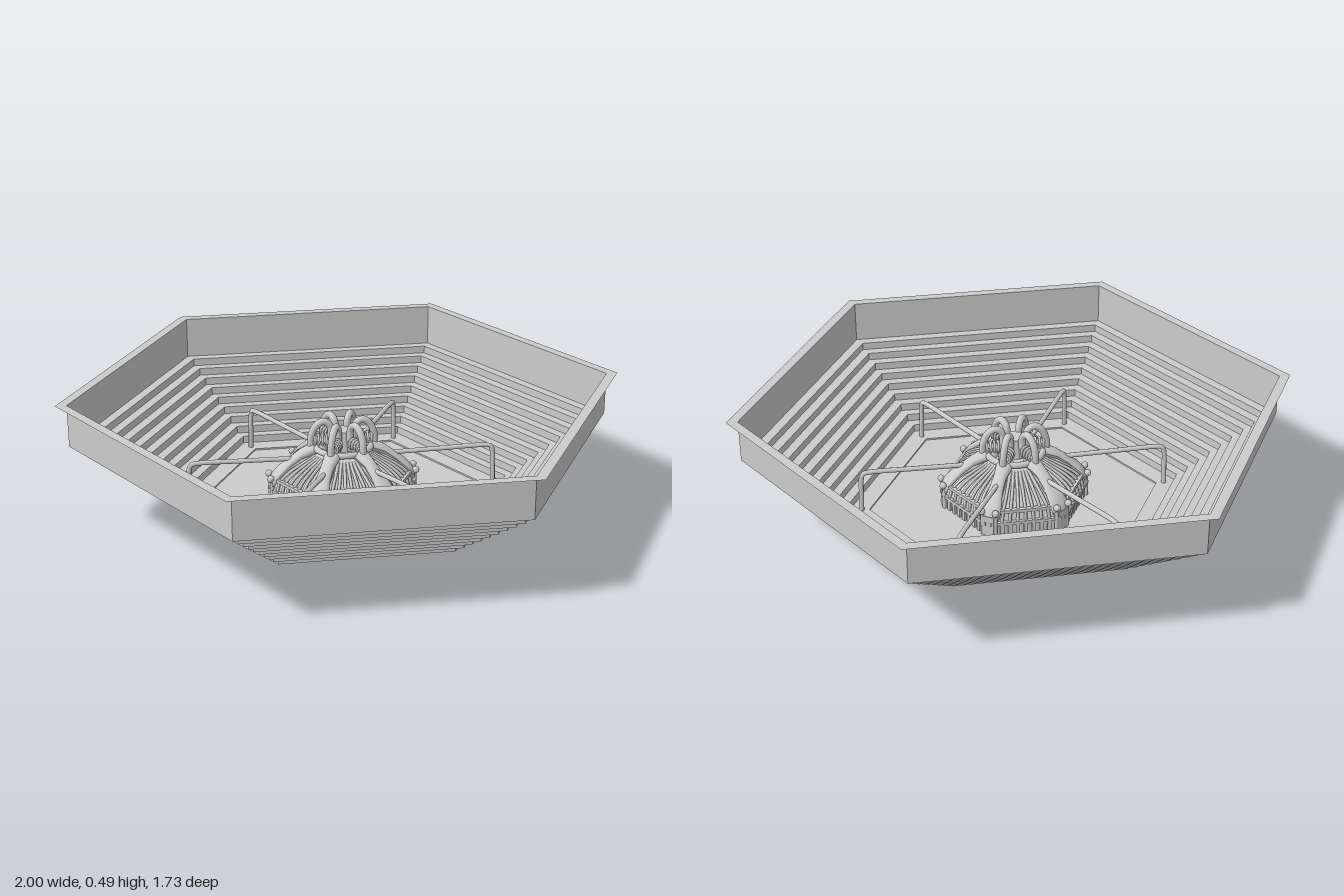
import * as THREE from 'three';

const flat = new THREE.MeshStandardMaterial({ color: 0xcccccc, flatShading: true, side: THREE.DoubleSide });
const smooth = new THREE.MeshStandardMaterial({ color: 0xcccccc, side: THREE.DoubleSide });
const V = (x, y, z = 0) => new THREE.Vector3(x, y, z);

function add(parent, name, geometry, material = flat) {
  const mesh = new THREE.Mesh(geometry, material);
  mesh.name = name;
  parent.add(mesh);
  return mesh;
}

// Six-sided lathe with corners on the x axis
function hexLathe(points) {
  return new THREE.LatheGeometry(points.map(([r, y]) => new THREE.Vector2(r, y)), 6, Math.PI / 6);
}

function tube(points, radius, segments = 16, sides = 8) {
  return new THREE.TubeGeometry(new THREE.CatmullRomCurve3(points, false, 'centripetal'), segments, radius, sides);
}

// Long tapered arm: elliptical sections [r, y, halfWidth, halfHeight] lofted outward
function loft(sections, sides = 14) {
  const pos = [], idx = [];
  for (const [x, y, w, h] of sections)
    for (let j = 0; j <= sides; j++) {
      const a = (j / sides) * Math.PI * 2;
      pos.push(x, y + h * Math.sin(a), w * Math.cos(a));
    }
  for (let i = 0; i < sections.length - 1; i++)
    for (let j = 0; j < sides; j++) {
      const a = i * (sides + 1) + j, b = a + sides + 1;
      idx.push(a, a + 1, b, a + 1, b + 1, b);
    }
  const g = new THREE.BufferGeometry();
  g.setAttribute('position', new THREE.Float32BufferAttribute(pos, 3));
  g.setIndex(idx);
  g.computeVertexNormals();
  return g;
}

function createBowl() {
  const bowl = new THREE.Group();
  bowl.name = 'bowl';
  // Flat lip, upright wall, nine steps and the floor
  const profile = [[1, 0.488], [0.96, 0.488], [0.96, 0.335]];
  const rise = 0.0278;
  for (let i = 0; i < 9; i++) {
    const r = 0.92 - 0.04 * i, y = 0.335 - rise * i;
    profile.push([r, y], [r, y - rise]);
  }
  profile.push([0.56, 0.085], [0.525, 0.085], [0.525, 0.079], [0.0001, 0.079]);
  add(bowl, 'steppedBasin', hexLathe(profile));
  return bowl;
}

// One corner: water arch, arm, bolts, corner leg and crown pipe
function createCorner() {
  const corner = new THREE.Group();
  corner.name = 'cornerAssembly';

  add(corner, 'archPipe', tube([
    V(0.17, 0.235), V(0.35, 0.238), V(0.52, 0.24), V(0.541, 0.236), V(0.548, 0.22), V(0.551, 0.15), V(0.553, 0.08),
  ], 0.009, 40), smooth);

  add(corner, 'arm', loft([
    [0.06, 0.265, 0.004, 0.004], [0.075, 0.27, 0.026, 0.02], [0.11, 0.268, 0.03, 0.022],
    [0.15, 0.25, 0.024, 0.02], [0.19, 0.22, 0.026, 0.02], [0.23, 0.185, 0.036, 0.022],
    [0.255, 0.155, 0.04, 0.022], [0.265, 0.145, 0.004, 0.004],
  ]), smooth);

  // Corner leg with a pair of side rods and bolt heads
  const leg = add(corner, 'cornerLeg', new THREE.BoxGeometry(0.018, 0.155, 0.04));
  leg.position.set(0.256, 0.0775, 0);
  for (const s of [-1, 1]) {
    const rod = add(corner, 'legRod', new THREE.CylinderGeometry(0.007, 0.007, 0.17, 8), smooth);
    rod.position.set(0.258, 0.085, s * 0.024);
    const bolt = add(corner, 'boltHead', new THREE.SphereGeometry(0.013, 10, 8), smooth);
    bolt.position.set(0.262, 0.172, s * 0.026);
  }

  // Hooked pipe of the crown with stacked rings beside it
  add(corner, 'crownPipe', tube([
    V(0.115, 0.27), V(0.112, 0.32), V(0.095, 0.355), V(0.07, 0.37), V(0.047, 0.355), V(0.042, 0.32), V(0.045, 0.27),
  ], 0.013, 28, 10), smooth);
  for (let i = 0; i < 4; i++) {
    const ring = add(corner, 'crownRing', new THREE.TorusGeometry(0.02, 0.005, 6, 14), smooth);
    ring.rotation.y = Math.PI / 2;
    ring.position.set(0.06 + i * 0.014, 0.3, 0);
  }
  return corner;
}

// One side: upright slats, sloping ribs and cross bars between two corners
function createSide() {
  const side = new THREE.Group();
  side.name = 'sidePanel';
  const count = 9;
  for (let i = 0; i < count; i++) {
    const t = (i - (count - 1) / 2) / ((count - 1) / 2);
    const slat = add(side, 'slat', new THREE.BoxGeometry(0.012, 0.13, 0.014));
    slat.position.set(0.23, 0.065 + 0.002, t * 0.112);
    // Ribs close in toward the crown
    add(side, 'slopingRib', tube([
      V(0.23, 0.13, t * 0.112), V(0.222, 0.165, t * 0.105), V(0.19, 0.2, t * 0.085), V(0.1, 0.25, t * 0.042),
    ], 0.006, 12, 6), smooth);
  }
  for (const [x, y, length] of [[0.23, 0.125, 0.25], [0.222, 0.168, 0.22]]) {
    const bar = add(side, 'crossBar', new THREE.BoxGeometry(0.016, 0.012, length));
    bar.position.set(x, y, 0);
  }
  return side;
}

function createFountain() {
  const fountain = new THREE.Group();
  fountain.name = 'fountain';
  // Thin hexagonal shell, open underneath
  add(fountain, 'bodyShell', hexLathe([
    [0.262, 0], [0.262, 0.13], [0.25, 0.16], [0.21, 0.195], [0.13, 0.245], [0.1, 0.262], [0.0001, 0.268],
  ]));
  const collar = add(fountain, 'crownCollar', new THREE.TorusGeometry(0.1, 0.012, 8, 36), smooth);
  collar.rotation.x = Math.PI / 2;
  collar.position.y = 0.275;
  const core = add(fountain, 'crownCore', new THREE.CylinderGeometry(0.035, 0.045, 0.07, 18), smooth);
  core.position.y = 0.3;

  for (let i = 0; i < 6; i++) {
    const corner = createCorner();
    corner.rotation.y = (i * Math.PI) / 3;
    const side = createSide();
    side.rotation.y = ((i + 0.5) * Math.PI) / 3;
    fountain.add(corner, side);
  }
  return fountain;
}

export function createModel() {
  const model = new THREE.Group();
  model.name = 'hexagonalFountain';
  model.add(createBowl(), createFountain());
  return model;
}
